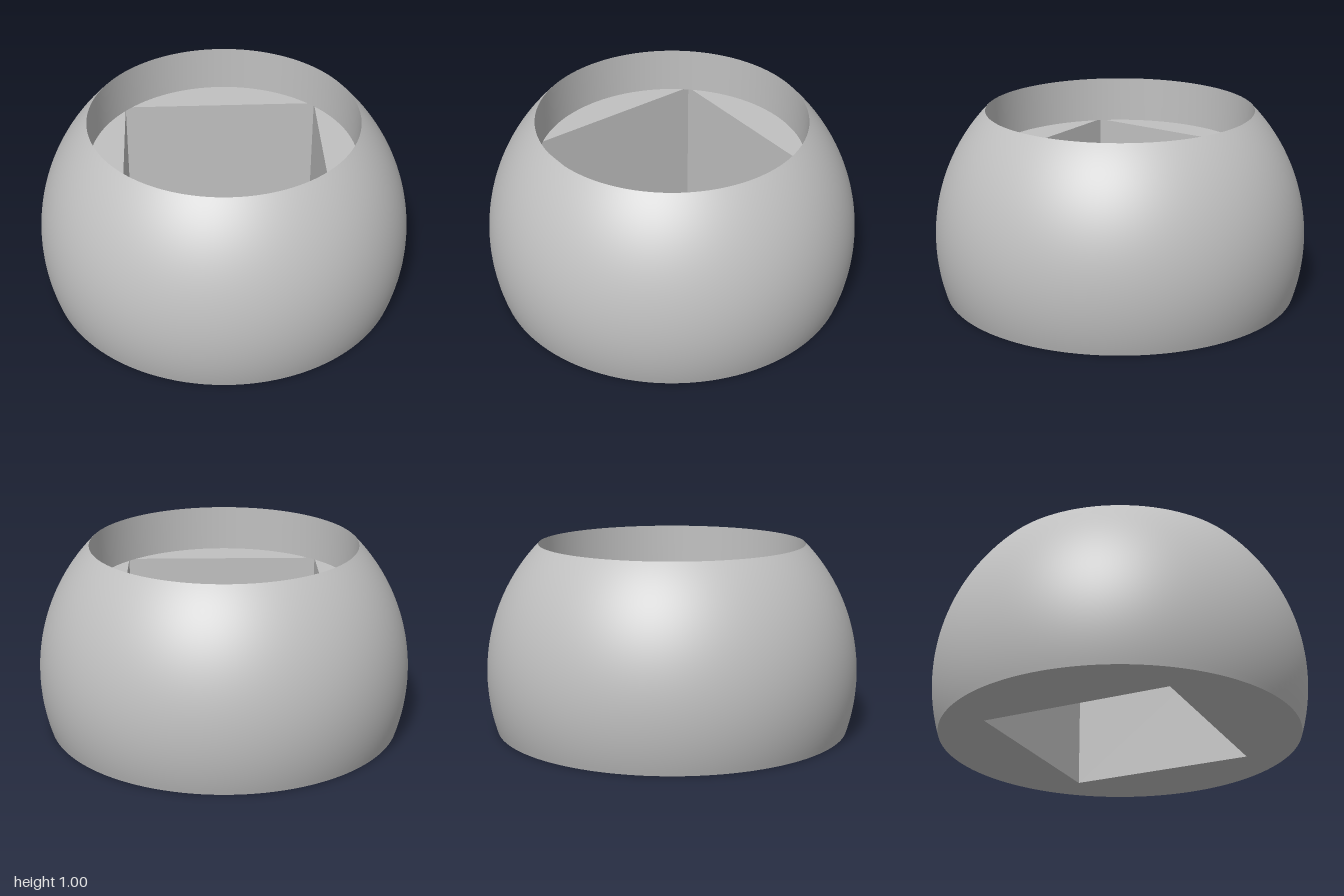
import * as THREE from 'three';

const HALF_U = 0.532, HALF_V = 0.514;   // half sides of the through hole
const CENTRE_Y = 0.3, TOP = 1, LEDGE = 0.75;
const BORE = Math.sqrt(1 - (TOP - CENTRE_Y) ** 2);
const BASE = Math.sqrt(1 - CENTRE_Y ** 2);
const TURN = THREE.MathUtils.degToRad(21.2);
const SEGMENTS = 128;

export function createModel() {
  const grey = new THREE.MeshStandardMaterial({ color: 0xc0c0c0 });
  grey.name = 'grey';
  const model = new THREE.Group();
  model.name = 'boredSphere';

  const add = (name, geometry) => {
    const mesh = new THREE.Mesh(geometry, grey);
    mesh.name = name;
    model.add(mesh);
    return mesh;
  };
  // Flat horizontal face from a shape, facing up or down
  const flat = (name, shape, y, up) => {
    const geometry = new THREE.ShapeGeometry(shape, SEGMENTS);
    geometry.rotateX(up ? -Math.PI / 2 : Math.PI / 2);
    geometry.translate(0, y, 0);
    return add(name, geometry);
  };

  // Truncated sphere shell
  const start = Math.asin(-CENTRE_Y), end = Math.asin(TOP - CENTRE_Y);
  const profile = [];
  for (let i = 0; i <= 40; i++) {
    const a = start + (end - start) * i / 40;
    profile.push(new THREE.Vector2(Math.cos(a), CENTRE_Y + Math.sin(a)));
  }
  add('outerShell', new THREE.LatheGeometry(profile, SEGMENTS));

  // Round counterbore wall, facing inward
  add('boreWall', new THREE.LatheGeometry(
    [new THREE.Vector2(BORE, TOP), new THREE.Vector2(BORE, LEDGE)], SEGMENTS));

  // Underside with the rectangular opening
  const under = new THREE.Shape().absarc(0, 0, BASE, 0, Math.PI * 2, false);
  under.holes.push(new THREE.Path([
    [-HALF_U, -HALF_V], [-HALF_U, HALF_V], [HALF_U, HALF_V], [HALF_U, -HALF_V],
  ].map(([x, y]) => new THREE.Vector2(x, y))));
  flat('underside', under, 0, false);

  // Four straight walls and the ledge segment above each
  for (let i = 0; i < 4; i++) {
    const dist = i % 2 ? HALF_U : HALF_V;
    const width = 2 * (i % 2 ? HALF_V : HALF_U);
    const wall = new THREE.PlaneGeometry(width, LEDGE);
    wall.translate(0, LEDGE / 2, -dist);
    add('holeWall', wall).rotation.y = i * Math.PI / 2;

    const half = Math.acos(dist / BORE);
    const segment = new THREE.Shape()
      .absarc(0, 0, BORE, Math.PI / 2 - half, Math.PI / 2 + half, false);
    segment.closePath();
    flat('ledge', segment, LEDGE, true).rotation.y = i * Math.PI / 2;
  }

  // Small ceilings where the hole corners reach past the bore
  for (const sx of [1, -1]) for (const sy of [1, -1]) {
    const corner = new THREE.Shape();
    corner.moveTo(sx * HALF_U, sy * HALF_V);
    const from = Math.acos(HALF_U / BORE), to = Math.asin(HALF_V / BORE);
    for (let i = 0; i <= 6; i++) {
      const a = from + (to - from) * i / 6;
      corner.lineTo(sx * BORE * Math.cos(a), sy * BORE * Math.sin(a));
    }
    flat('cornerCeiling', corner, LEDGE, false);
  }

  model.rotation.y = -TURN;
  const root = new THREE.Group();
  root.name = 'model';
  root.add(model);
  return root;
}
